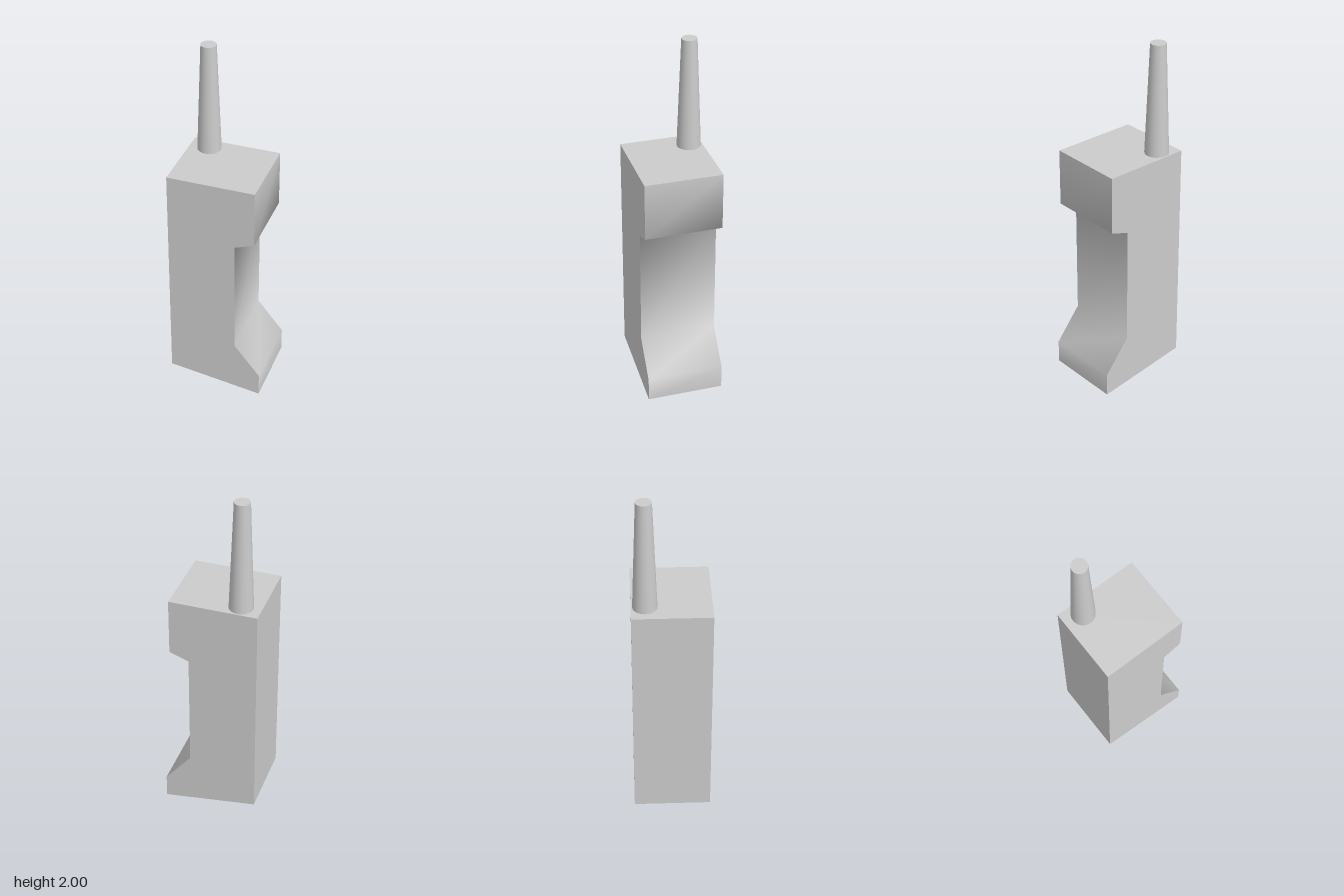
import * as THREE from 'three';
import { toCreasedNormals } from 'three/addons/utils/BufferGeometryUtils.js';

export function createModel() {
  const group = new THREE.Group();
  group.name = 'handheldPhone';
  const material = new THREE.MeshStandardMaterial({ color: 0xcccccc });

  // Body: side profile with earpiece and flared mouthpiece, extruded across the width
  const depth = 0.434;
  const profile = new THREE.Shape([
    [-0.268, 0.075], [0.266, 0], [0.266, 0.135], [0.117, 0.32],
    [0.117, 1.005], [0.226, 1.043], [0.226, 1.37], [-0.268, 1.37],
  ].map(([x, y]) => new THREE.Vector2(x, y)));
  const bodyGeometry = new THREE.ExtrudeGeometry(profile, { depth, bevelEnabled: false });
  bodyGeometry.translate(0, 0, -depth / 2);
  // The gentle bends of the speaking side are smooth, the box edges sharp
  const body = new THREE.Mesh(
    toCreasedNormals(bodyGeometry, THREE.MathUtils.degToRad(75)), material);
  body.name = 'body';
  group.add(body);

  // Antenna: tapered rod standing in the rear corner of the top
  const height = 0.63;
  const antenna = new THREE.Mesh(new THREE.CylinderGeometry(0.043, 0.067, height, 24), material);
  antenna.name = 'antenna';
  antenna.position.set(-0.156, 1.37 + height / 2, -0.142);
  group.add(antenna);

  return group;
}
